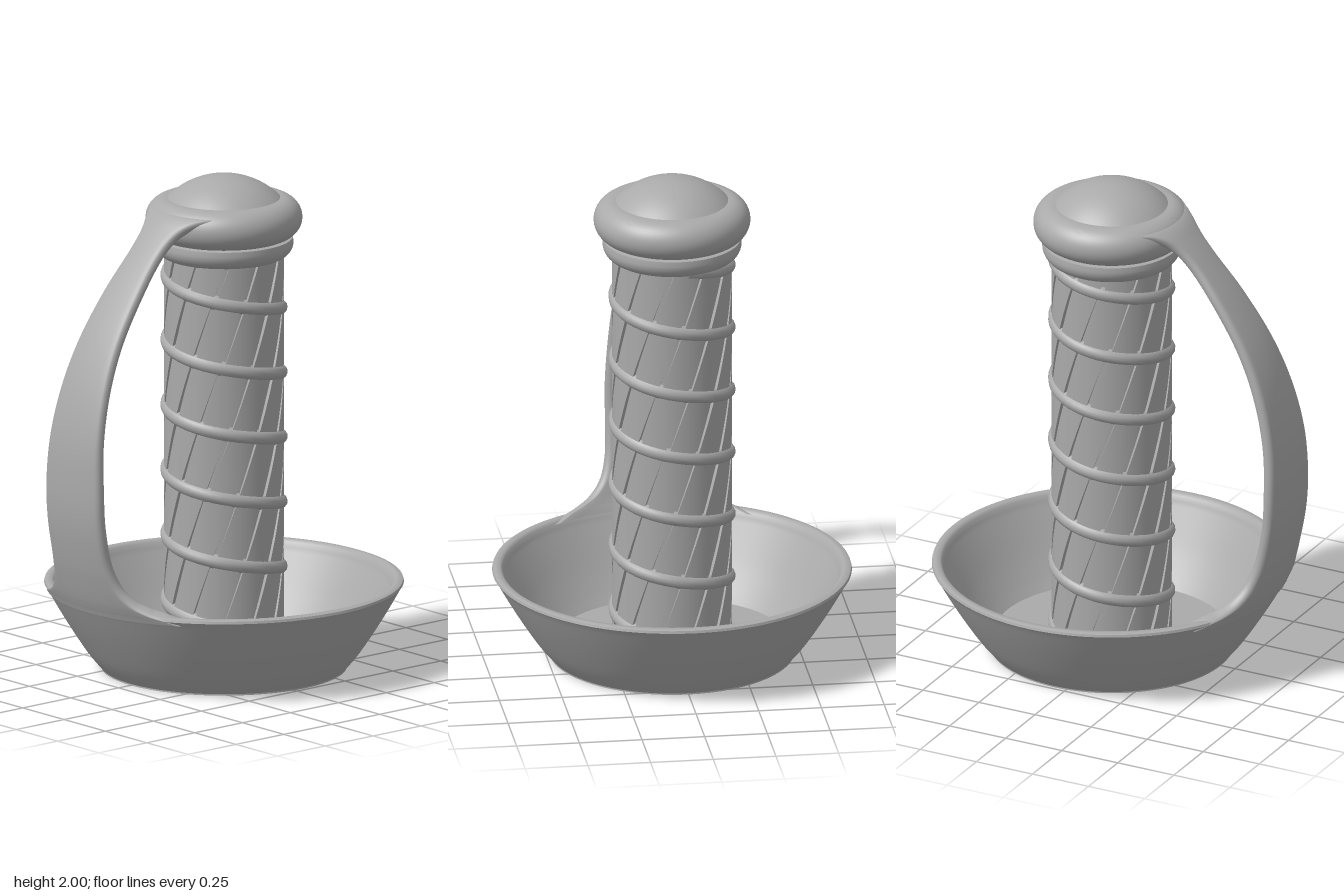
import * as THREE from 'three';
import { toCreasedNormals } from 'three/addons/utils/BufferGeometryUtils.js';

const AXIS_Z = -0.05; // handle and bowl share this vertical axis
const V2 = (a) => a.map(([x, y]) => new THREE.Vector2(x, y));

const lathe = (pts, crease = 0.5) => toCreasedNormals(new THREE.LatheGeometry(V2(pts), 96), crease);

// points on an arc, angles in degrees
function arc(cx, cy, r, a0, a1, n) {
  return Array.from({ length: n + 1 }, (_, i) => {
    const a = THREE.MathUtils.degToRad(a0 + (a1 - a0) * i / n);
    return [cx + r * Math.cos(a), cy + r * Math.sin(a)];
  });
}

// open dish with concentric grooves in its underside
function bowlGeometry() {
  const pts = [[0, 0.025], [0.07, 0.025], [0.07, 0.012], [0.09, 0]];
  for (let r = 0.11; r < 0.27; r += 0.026) {
    pts.push([r, 0], [r, 0.01], [r + 0.011, 0.01], [r + 0.011, 0]);
  }
  pts.push([0.28, 0], [0.28, 0.01], [0.485, 0.01]);
  const outer = new THREE.SplineCurve(V2([[0.487, 0.006], [0.54, 0.07], [0.6, 0.16], [0.655, 0.25], [0.703, 0.335]]));
  const inner = new THREE.SplineCurve(V2([[0.662, 0.33], [0.615, 0.25], [0.56, 0.16], [0.505, 0.085], [0.465, 0.04]]));
  outer.getPoints(14).forEach((p) => pts.push([p.x, p.y]));
  pts.push([0.711, 0.346], [0.708, 0.356], [0.698, 0.36], [0.68, 0.36], [0.669, 0.351]);
  inner.getPoints(14).forEach((p) => pts.push([p.x, p.y]));
  pts.push([0, 0.04]);
  return lathe(pts, 0.7);
}

// thin foot plate pierced by radial slots
function footGeometry() {
  const shape = new THREE.Shape().absarc(0, 0, 0.486, 0, Math.PI * 2);
  shape.holes.push(new THREE.Path().absarc(0, 0, 0.28, 0, Math.PI * 2));
  for (let i = 0; i < 12; i++) {
    const a = i * Math.PI / 6, end = i % 2 ? 0.38 : 0.45, h = 0.006;
    const c = Math.cos(a), s = Math.sin(a);
    const corners = [[0.295, -h], [0.295, h], [end, h], [end, -h]];
    shape.holes.push(new THREE.Path(V2(corners.map(([u, v]) => [u * c - v * s, u * s + v * c]))));
  }
  const geo = new THREE.ExtrudeGeometry(shape, { depth: 0.0095, bevelEnabled: false, curveSegments: 96 });
  return geo.rotateX(-Math.PI / 2);
}

// cylinder with narrow grooves, twisted along its height
function gripGeometry() {
  const pts = [], n = 12, step = Math.PI * 2 / n, gap = 0.07, r = 0.238, d = 0.014;
  for (let i = 0; i < n; i++) {
    const a0 = i * step;
    for (let k = 0; k <= 6; k++) {
      const a = a0 + (step - gap) * k / 6;
      pts.push([r * Math.cos(a), r * Math.sin(a)]);
    }
    for (const a of [a0 + step - gap, a0 + step]) pts.push([(r - d) * Math.cos(a), (r - d) * Math.sin(a)]);
  }
  const geo = new THREE.ExtrudeGeometry(new THREE.Shape(V2(pts)), { depth: 1.67, steps: 40, bevelEnabled: false });
  geo.rotateX(-Math.PI / 2).translate(0, 0.03, 0);
  const pos = geo.attributes.position, v = new THREE.Vector3(), up = new THREE.Vector3(0, 1, 0);
  for (let i = 0; i < pos.count; i++) {
    v.fromBufferAttribute(pos, i).applyAxisAngle(up, 1.5 * pos.getY(i));
    pos.setXYZ(i, v.x, v.y, v.z);
  }
  geo.deleteAttribute('uv');
  return toCreasedNormals(geo, 0.5);
}

// raised cord winding up the grip
function helixGeometry() {
  const pitch = 0.2635, y0 = 0.05, y1 = 1.69, pts = [];
  for (let i = 0; i <= 150; i++) {
    const y = y0 + (y1 - y0) * i / 150, a = (y - 1.235) / pitch * Math.PI * 2;
    pts.push(new THREE.Vector3(0.222 * Math.cos(a), y, 0.222 * Math.sin(a)));
  }
  return new THREE.TubeGeometry(new THREE.CatmullRomCurve3(pts), 300, 0.03, 12);
}

// curved strap from the bowl rim to the pommel, bent around the axis
function guardGeometry() {
  // stations: radius from the axis, height, half width
  const stations = [
    [0.705, 0.33, 0.42], [0.712, 0.347, 0.37], [0.72, 0.365, 0.31], [0.732, 0.395, 0.25], [0.75, 0.45, 0.2],
    [0.775, 0.54, 0.173], [0.805, 0.7, 0.167], [0.813, 0.85, 0.166], [0.8, 1.05, 0.153], [0.75, 1.25, 0.136],
    [0.67, 1.43, 0.119], [0.55, 1.61, 0.103], [0.42, 1.765, 0.09], [0.36, 1.828, 0.105], [0.315, 1.87, 0.15],
    [0.275, 1.89, 0.215], [0.23, 1.895, 0.21],
  ];
  const path = new THREE.CatmullRomCurve3(stations.map((s) => new THREE.Vector3(...s)));
  const rows = 120, flat = 12, round = 8, pos = [], idx = [];
  for (let i = 0; i <= rows; i++) {
    const s = path.getPoint(i / rows), tan = path.getTangent(i / rows);
    const len = Math.hypot(tan.x, tan.y), nr = tan.y / len, ny = -tan.x / len;
    const t = THREE.MathUtils.lerp(0.055, 0.042, i / rows);
    const half = s.z - t / 2, ring = [];
    for (let k = 0; k < flat; k++) ring.push([half * (2 * k / flat - 1), 0.5]);
    for (let k = 0; k < round; k++) ring.push([half + t / 2 * Math.sin(Math.PI * k / round), 0.5 * Math.cos(Math.PI * k / round)]);
    ring.push(...ring.map(([u, v]) => [-u, -v]));
    for (const [u, v] of ring) {
      const off = (v - 0.5) * t, r = s.x + off * nr;
      const a = Math.asin(THREE.MathUtils.clamp(u / s.x, -1, 1));
      pos.push(r * Math.sin(a), s.y + off * ny, r * Math.cos(a));
    }
  }
  const m = 2 * (flat + round);
  for (let i = 0; i < rows; i++) {
    for (let k = 0; k < m; k++) {
      const a = i * m + k, b = i * m + (k + 1) % m;
      idx.push(a, b, b + m, a, b + m, a + m);
    }
  }
  const geo = new THREE.BufferGeometry();
  geo.setAttribute('position', new THREE.Float32BufferAttribute(pos, 3));
  geo.setIndex(idx);
  geo.computeVertexNormals();
  return geo;
}

// collar, rounded ring and shallow dome
function pommelGeometry() {
  const domeR = (0.222 ** 2 + 0.09 ** 2) / (2 * 0.09);
  const edge = THREE.MathUtils.radToDeg(Math.acos(0.222 / domeR));
  return lathe([
    [0, 1.67], [0.215, 1.67],
    ...arc(0.215, 1.73, 0.06, -75, 0, 8), [0.272, 1.75],
    [0.245, 1.755],
    ...arc(0.23, 1.83, 0.08, -70, 92, 20),
    ...arc(0, 2 - domeR, domeR, edge, 90, 16),
  ]);
}

export function createModel() {
  const grey = new THREE.MeshStandardMaterial({ color: 0xaaaaaa });
  grey.name = 'grey';
  const group = new THREE.Group();
  group.name = 'guardedHandle';
  const parts = {
    bowl: bowlGeometry(),
    footPlate: footGeometry(),
    grip: gripGeometry(),
    gripSpiral: helixGeometry(),
    handGuard: guardGeometry(),
    pommel: pommelGeometry(),
  };
  for (const [name, geo] of Object.entries(parts)) {
    const mesh = new THREE.Mesh(geo, grey);
    mesh.name = name;
    mesh.position.z = AXIS_Z;
    group.add(mesh);
  }
  return group;
}
